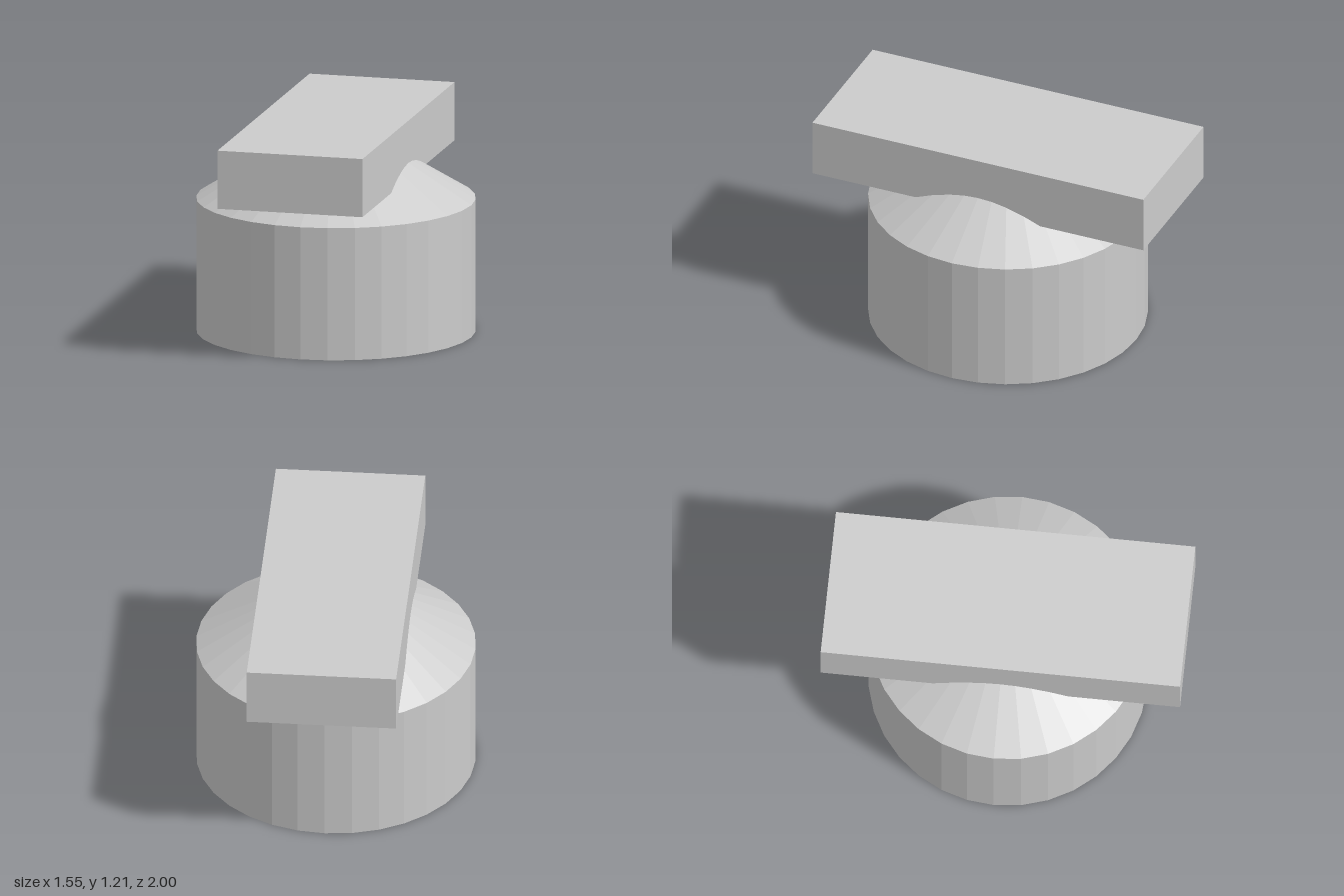
import * as THREE from 'three';

export function createModel() {
  const group = new THREE.Group();
  const material = new THREE.MeshStandardMaterial({ color: 0xcccccc, flatShading: true });
  const radius = 0.775, sides = 32, wallHeight = 0.75;

  const add = (name, geometry, y) => {
    const mesh = new THREE.Mesh(geometry, material);
    mesh.name = name;
    mesh.position.y = y;
    group.add(mesh);
  };

  // Round body and its sloping shoulder, drawn as one faceted profile
  const profile = [[0, 0], [radius, 0], [radius, wallHeight], [0.12, 1.15], [0, 1.15]];
  add('body', new THREE.LatheGeometry(profile.map(([x, y]) => new THREE.Vector2(x, y)), sides), 0);

  // Long bar laid across the top, with the shoulder running into it
  add('topBar', new THREE.BoxGeometry(0.83, 0.33, 2), 1.045);

  return group;
}
